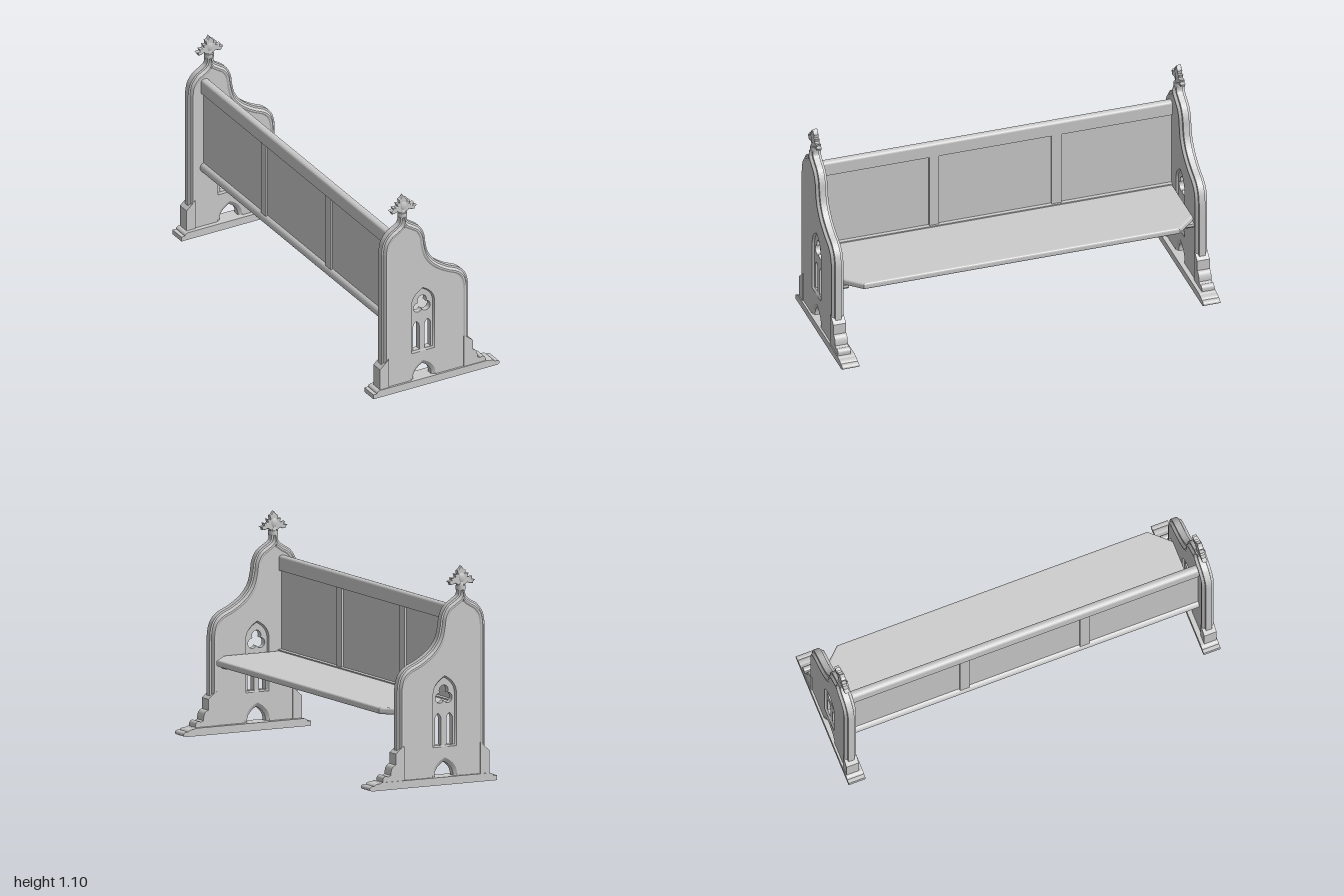
import * as THREE from 'three';

const mat = new THREE.MeshStandardMaterial({ color: 0xcccccc, side: THREE.DoubleSide });
const V = (x, y) => new THREE.Vector2(x, y);
const pts = list => list.map(([x, y]) => V(x, y));
const AXIS = -0.178; // x of the finial and the ogee tip

function add(parent, name, geo, x = 0, y = 0, z = 0) {
  const m = new THREE.Mesh(geo, mat);
  m.name = name;
  m.position.set(x, y, z);
  parent.add(m);
  return m;
}

// Extrudes an outline between two z values, with an optional bevel kept inside the outline
function slab(outline, z0, z1, holes = [], bevel = 0) {
  const s = new THREE.Shape(outline);
  s.holes = holes.map(h => new THREE.Path(h));
  return new THREE.ExtrudeGeometry(s, {
    depth: z1 - z0 - 2 * bevel, bevelEnabled: bevel > 0, bevelSize: bevel,
    bevelThickness: bevel, bevelOffset: -bevel, bevelSegments: 3, curveSegments: 10,
  }).translate(0, 0, z0 + bevel);
}

// Strip of surface between two outlines with equal point counts
function loft(a, za, b, zb, closed = false) {
  const pos = [], idx = [], n = a.length;
  for (let i = 0; i < n; i++) pos.push(a[i].x, a[i].y, za, b[i].x, b[i].y, zb);
  for (let i = 0; i < (closed ? n : n - 1); i++) {
    const p = 2 * i, q = 2 * ((i + 1) % n);
    idx.push(p, p + 1, q, q, p + 1, q + 1);
  }
  const g = new THREE.BufferGeometry();
  g.setAttribute('position', new THREE.Float32BufferAttribute(pos, 3));
  g.setIndex(idx);
  g.computeVertexNormals();
  return g;
}

// Pointed arch outline
function arch(x0, x1, y0, spring, top) {
  const mid = (x0 + x1) / 2, cy = spring + 0.62 * (top - spring);
  const r = new THREE.QuadraticBezierCurve(V(x1, spring), V(x1, cy), V(mid, top)).getPoints(10);
  const l = r.slice(0, -1).reverse().map(p => V(x0 + x1 - p.x, p.y));
  return [V(x0, y0), V(x1, y0), ...r, ...l];
}

// Three-lobed opening
function trefoil(cx, cy, d) {
  return Array.from({ length: 72 }, (_, i) => {
    const a = i / 72 * Math.PI * 2, step = Math.PI * 2 / 3;
    let dev = (a - Math.PI / 2) % step;
    if (dev > step / 2) dev -= step;
    if (dev < -step / 2) dev += step;
    const r = 2 * d * Math.cos(dev);
    return V(cx + r * Math.cos(a), cy + r * Math.sin(a));
  });
}

// The two halves of the end outline, both running upward
const FOOT = 0.035;
const leftHalf = [V(-0.308, FOOT), ...new THREE.SplineCurve(pts([
  [-0.308, 0.795], [-0.297, 0.856], [-0.265, 0.902], [-0.227, 0.926],
  [-0.204, 0.943], [-0.196, 0.962], [-0.196, 0.98]])).getPoints(48)];
const rightHalf = [V(0.195, FOOT), ...new THREE.SplineCurve(pts([
  [0.195, 0.46], [0.192, 0.518], [0.175, 0.57], [0.137, 0.608], [0.07, 0.64], [0.006, 0.684],
  [-0.035, 0.737], [-0.052, 0.795], [-0.061, 0.853], [-0.087, 0.902], [-0.125, 0.93],
  [-0.152, 0.948], [-0.16, 0.962], [-0.16, 0.98]])).getPoints(90)];

// Insets one half by d; everything past the centre line collapses to the tip
function insetHalf(half, d, side) {
  let tip = null;
  return half.map((p, i) => {
    if (tip) return tip.clone();
    const t = i === 0 ? V(0, 1)
      : half[Math.min(i + 1, half.length - 1)].clone().sub(half[i - 1]).normalize();
    const q = V(p.x + side * t.y * d, p.y - side * t.x * d);
    if ((q.x - AXIS) * side >= 0) {
      q.x = AXIS;
      tip = q;
    }
    return q;
  });
}

function endOutline(d) {
  const l = insetHalf(leftHalf, d, 1), r = insetHalf(rightHalf, d, -1);
  const tl = l[l.length - 1], tr = r[r.length - 1];
  if (tl.x === AXIS && tr.x === AXIS) {
    const y = (tl.y + tr.y) / 2;
    for (const h of [l, r]) for (const p of h) if (p.x === AXIS) p.y = y;
  }
  return [...l, ...r.reverse()];
}

const distinct = list => list.filter((p, i) => i === 0 || p.distanceTo(list[i - 1]) > 1e-5);

// One face of the end panel: moulded rim, flat field, niche and foot arch
function endFace() {
  const g = new THREE.Group();
  g.name = 'endFace';
  const section = [[0, 0.016], [0.009, 0.018], [0.016, 0.029], [0.019, 0.032], [0.026, 0.032], [0.034, 0.027]];
  for (let i = 0; i < section.length - 1; i++) {
    const [d0, z0] = section[i], [d1, z1] = section[i + 1];
    add(g, 'rimMoulding', loft(endOutline(d0), z0, endOutline(d1), z1));
  }
  const footArch = arch(-0.143, -0.002, 0.037, 0.05, 0.138);
  const niche = arch(-0.14, -0.006, 0.192, 0.46, 0.553);
  const field = new THREE.Shape(distinct(endOutline(0.034)));
  field.holes = [new THREE.Path(footArch), new THREE.Path(niche)];
  add(g, 'panelField', new THREE.ShapeGeometry(field), 0, 0, 0.027);
  add(g, 'archChamfer', loft(footArch, 0.027, arch(-0.126, -0.019, 0.037, 0.045, 0.117), 0.015, true));
  add(g, 'nicheEdge', loft(niche, 0.027, arch(-0.133, -0.013, 0.2, 0.46, 0.543), 0.015, true));
  return g;
}

function pewEnd() {
  const g = new THREE.Group();
  g.name = 'pewEnd';
  add(g, 'panelCore', slab(endOutline(0), -0.016, 0.016, [
    arch(-0.126, -0.019, 0.037, 0.045, 0.117),
    arch(-0.124, -0.088, 0.2, 0.33, 0.362),
    arch(-0.058, -0.022, 0.2, 0.33, 0.362),
    trefoil(-0.073, 0.452, 0.026)]));
  const face = endFace(), inner = endFace();
  inner.scale.z = -1;
  g.add(face, inner);

  // Back buttress and stepped front bracket
  add(g, 'backButtress', slab(pts([[-0.326, 0.03], [-0.275, 0.03], [-0.275, 0.2], [-0.288, 0.188], [-0.326, 0.154]]), -0.033, 0.0335));
  const b = new THREE.Shape();
  b.moveTo(0.161, 0.03).lineTo(0.285, 0.03).lineTo(0.285, 0.045);
  b.absarc(0.268, 0.053, 0.017, 0, Math.PI * 0.75, false);
  b.lineTo(0.24, 0.072);
  b.quadraticCurveTo(0.24, 0.118, 0.212, 0.122);
  b.lineTo(0.212, 0.178).lineTo(0.17, 0.212).lineTo(0.161, 0.212);
  add(g, 'frontBracket', slab(b.getPoints(8), -0.033, 0.0335));

  // Sled foot with stepped back and rounded toe
  const f = new THREE.Shape();
  f.moveTo(-0.367, 0).lineTo(0.35, 0);
  f.quadraticCurveTo(0.368, 0.004, 0.364, 0.016);
  f.quadraticCurveTo(0.357, 0.028, 0.338, 0.024);
  f.quadraticCurveTo(0.33, 0.037, 0.305, 0.035);
  f.lineTo(0.295, 0.04).lineTo(-0.325, 0.04);
  f.quadraticCurveTo(-0.345, 0.038, -0.347, 0.025);
  f.lineTo(-0.367, 0.025);
  add(g, 'foot', slab(f.getPoints(8), -0.052, 0.038));

  // Finial: collar, stem and leaf
  add(g, 'finialCollar', new THREE.CylinderGeometry(0.025, 0.025, 0.024, 8).rotateY(Math.PI / 8), AXIS, 0.99, 0);
  add(g, 'finialStem', new THREE.CylinderGeometry(0.013, 0.019, 0.03, 12), AXIS, 1.012, 0);
  const half = [[0.02, 1.004], [0.033, 1.015], [0.05, 1.008], [0.066, 1.008], [0.067, 1.018], [0.078, 1.026],
    [0.056, 1.03], [0.062, 1.044], [0.042, 1.04], [0.034, 1.045], [0.04, 1.062], [0.021, 1.059], [0.024, 1.078], [0.012, 1.083]];
  const leaf = [...pts(half), V(0, 1.1), ...pts(half).reverse().map(p => V(-p.x, p.y))];
  add(g, 'finialLeaf', slab(leaf, -0.013, 0.013, [], 0.004), AXIS, 0, 0);
  add(g, 'finialBud', new THREE.SphereGeometry(1, 16, 12).scale(0.024, 0.035, 0.018), AXIS, 1.04, 0);
  return g;
}

export function createModel() {
  const model = new THREE.Group();
  model.name = 'pew';

  for (const s of [1, -1]) {
    const end = pewEnd();
    end.position.z = 0.962 * s;
    end.scale.z = s;
    model.add(end);
    // Support block below the front corner of the seat
    add(model, 'seatCleat', slab(pts([[0.05, 0.36], [0.07, 0.328], [0.13, 0.328], [0.15, 0.345], [0.15, 0.36]]), -0.022, 0.022), 0, 0, 0.913 * s);
  }

  // Seat board with clipped front corners and rounded edge
  const seat = slab(pts([[-0.205, -0.935], [0.125, -0.935], [0.218, -0.835], [0.218, 0.835], [0.125, 0.935], [-0.205, 0.935]]), 0, 0.034, [], 0.01);
  add(model, 'seat', seat.rotateX(Math.PI / 2), 0, 0.392, 0);

  // Backrest boards, stiles and rails
  add(model, 'backPanel', new THREE.BoxGeometry(0.014, 0.44, 1.88), -0.217, 0.6, 0);
  for (const z of [-0.323, 0.323])
    add(model, 'backStile', new THREE.BoxGeometry(0.034, 0.43, 0.052), -0.217, 0.6, z);
  const rail = new THREE.Shape();
  rail.moveTo(-0.239, 0.8).lineTo(-0.196, 0.8).lineTo(-0.196, 0.862);
  rail.quadraticCurveTo(-0.198, 0.875, -0.217, 0.877);
  rail.quadraticCurveTo(-0.237, 0.875, -0.239, 0.862);
  add(model, 'topRail', slab(rail.getPoints(8), -0.935, 0.935));
  const low = new THREE.Shape();
  low.moveTo(-0.19, 0.345).lineTo(-0.19, 0.398).lineTo(-0.217, 0.4);
  low.absarc(-0.217, 0.3725, 0.0275, Math.PI / 2, Math.PI * 1.5, false);
  add(model, 'bottomRail', slab(low.getPoints(10), -0.935, 0.935));
  return model;
}
